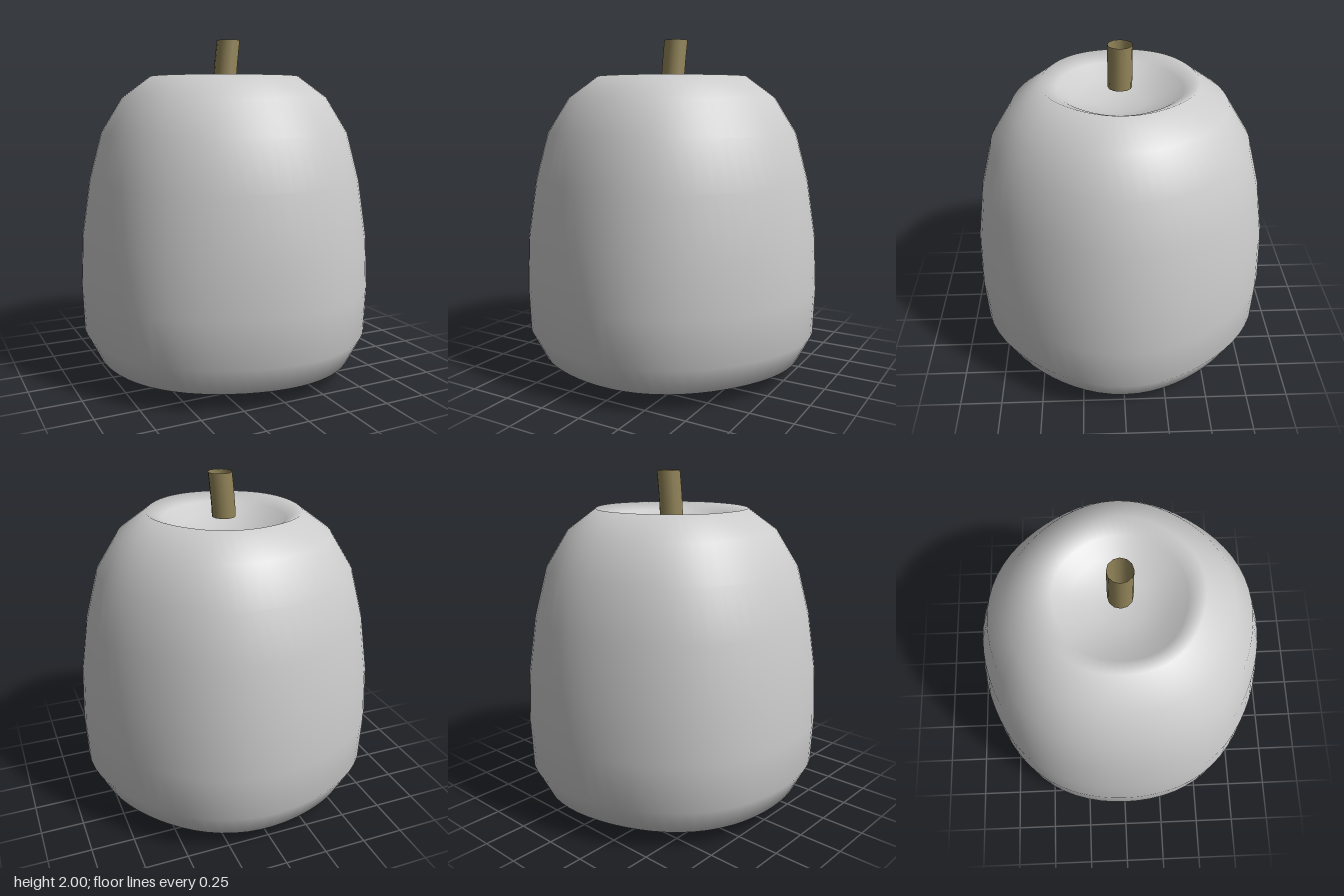
import * as THREE from 'three';
import { mergeVertices } from 'three/addons/utils/BufferGeometryUtils.js';

const skin = new THREE.MeshStandardMaterial({ color: 0xcccccc, side: THREE.DoubleSide });
skin.name = 'pale grey skin';
const bark = new THREE.MeshStandardMaterial({ color: 0x94865a, side: THREE.DoubleSide });
bark.name = 'olive brown stem';

// Fruit body: turned profile with five faint lobes and a dimple on top
function createBody() {
  const profile = [
    [0, 0], [0.3, 0.003], [0.61, 0.02], [0.8, 0.1], [0.88, 0.26], [0.89, 0.53],
    [0.875, 0.84], [0.825, 1.17], [0.75, 1.45], [0.62, 1.66], [0.45, 1.785],
    [0.36, 1.74], [0.27, 1.68], [0.14, 1.645], [0, 1.635],
  ].map(([r, y]) => new THREE.Vector2(r, y));

  let geometry = new THREE.LatheGeometry(profile, 64);
  geometry.deleteAttribute('uv');
  geometry.deleteAttribute('normal');
  geometry = mergeVertices(geometry, 1e-4);

  const p = geometry.attributes.position;
  for (let i = 0; i < p.count; i++) {
    const lobe = 1 + 0.01 * Math.cos(5 * Math.atan2(p.getZ(i), p.getX(i)));
    p.setX(i, p.getX(i) * lobe);
    p.setZ(i, p.getZ(i) * lobe);
  }
  geometry.computeVertexNormals();

  const body = new THREE.Mesh(geometry, skin);
  body.name = 'fruitBody';
  return body;
}

// Stem: short hollow tube, leaning slightly to one side
function createStem() {
  const height = 0.26;
  const geometry = new THREE.CylinderGeometry(0.07, 0.07, height, 12, 4, true);
  geometry.translate(0, 2 - height / 2, 0);
  const p = geometry.attributes.position;
  for (let i = 0; i < p.count; i++) {
    const t = (p.getY(i) - 2 + height) / height;
    p.setX(i, p.getX(i) + 0.024 * Math.pow(t, 1.3));
  }
  const stem = new THREE.Mesh(geometry, bark);
  stem.name = 'stem';
  return stem;
}

export function createModel() {
  const fruit = new THREE.Group();
  fruit.name = 'fruit';
  fruit.add(createBody(), createStem());
  fruit.position.x = -0.009;
  const model = new THREE.Group();
  model.add(fruit);
  return model;
}
